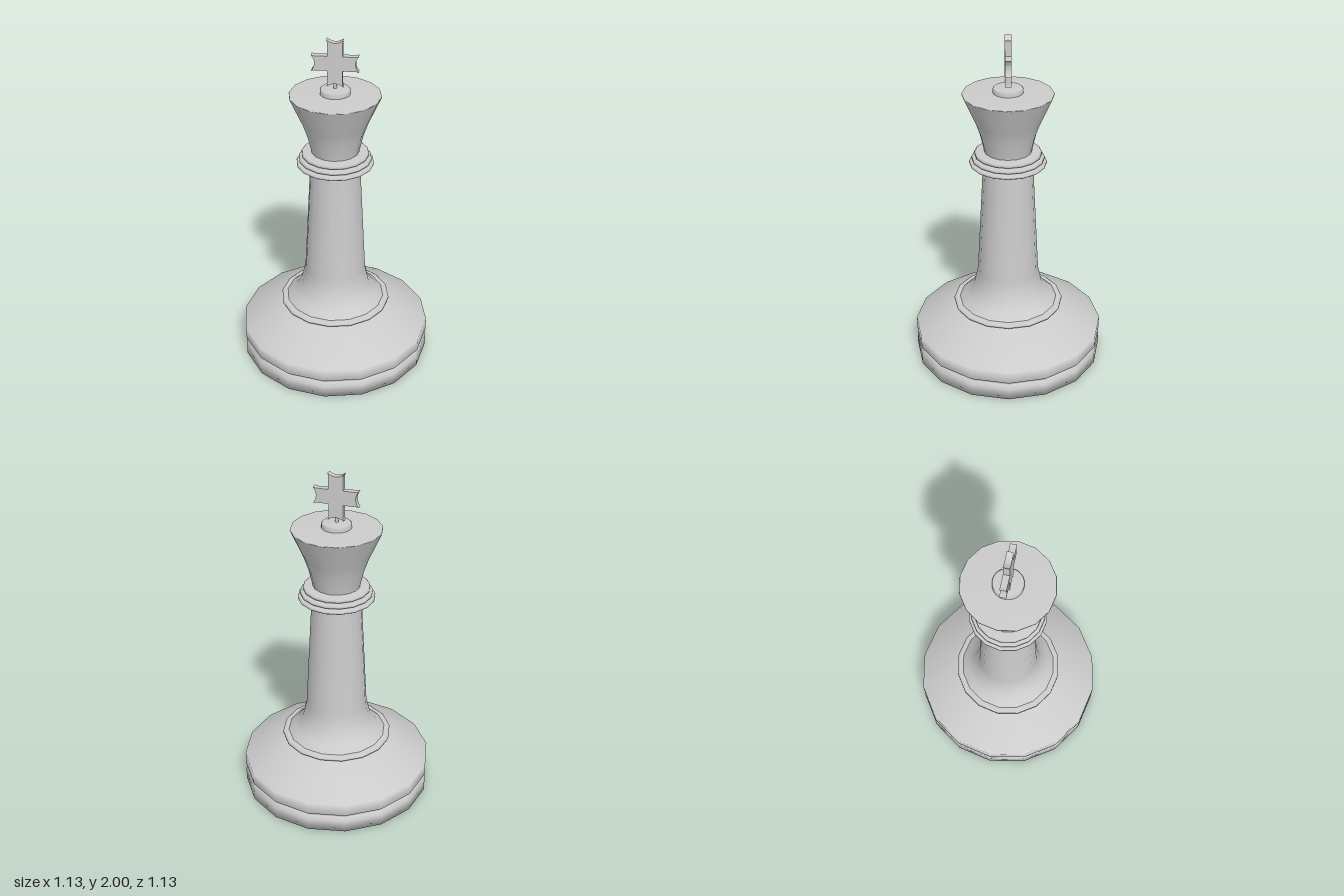
import * as THREE from 'three';

const SIDES = 16;
const material = new THREE.MeshStandardMaterial({ color: 0xcccccc });

function addMesh(group, name, geometry) {
  const mesh = new THREE.Mesh(geometry, material);
  mesh.name = name;
  group.add(mesh);
  return mesh;
}

// Turned part: profile of [radius, height] pairs from bottom to top
function turned(group, name, profile, sides = SIDES) {
  const points = profile.map(([r, y]) => new THREE.Vector2(r, y));
  return addMesh(group, name, new THREE.LatheGeometry(points, sides));
}

// Flared cross outline with a hollowed curve at the end of each arm
function crossShape() {
  const w = 0.042, flare = 0.046, dip = 0.035;
  const arms = [ // length and direction of each arm, counterclockwise
    [0.13, 1, 0], [0.135, 0, 1], [0.13, -1, 0], [0.135, 0, -1],
  ];
  const shape = new THREE.Shape();
  arms.forEach(([len, dx, dy], i) => {
    const at = (along, side) => [dx * along - dy * side, dy * along + dx * side];
    if (i === 0) shape.moveTo(...at(w, -w));
    else shape.lineTo(...at(w, -w));
    shape.lineTo(...at(len - 0.015, -w));
    shape.lineTo(...at(len, -flare));
    shape.quadraticCurveTo(...at(len - dip, 0), ...at(len, flare));
    shape.lineTo(...at(len - 0.015, w));
  });
  shape.closePath();
  return shape;
}

export function createModel() {
  const model = new THREE.Group();
  model.name = 'chessKing';

  // Wide foot with a groove and a sloping shoulder
  turned(model, 'base', [
    [0, 0], [0.565, 0], [0.565, 0.07], [0.54, 0.085], [0.54, 0.097],
    [0.565, 0.115], [0.565, 0.19], [0.29, 0.322], [0.2, 0.322],
  ]);

  // Thin ring between the foot and the shaft
  turned(model, 'baseRing', [
    [0.25, 0.322], [0.315, 0.323], [0.328, 0.33], [0.328, 0.341], [0.315, 0.349], [0.25, 0.351],
  ]);

  // Tapering shaft with a flared foot
  turned(model, 'shaft', [
    [0.295, 0.348], [0.25, 0.39], [0.205, 0.45], [0.181, 0.555], [0.143, 1.26],
  ]);

  // Stepped collar of three stacked rings
  const rings = [[0.222, 1.25, 1.272], [0.208, 1.277, 1.3], [0.192, 1.305, 1.33]];
  rings.forEach(([r, bottom, top], i) => {
    turned(model, `collarRing${i + 1}`, [
      [0.1, bottom], [r - 0.008, bottom], [r, bottom + 0.006],
      [r, top - 0.006], [r - 0.008, top], [0.1, top + 0.005],
    ]);
  });

  // Flaring head with an almost flat top
  turned(model, 'head', [
    [0.135, 1.32], [0.139, 1.345], [0.16, 1.435], [0.186, 1.51], [0.259, 1.675], [0.257, 1.68], [0, 1.688],
  ]);

  // Button and pin that carry the cross
  turned(model, 'button', [[0.085, 1.68], [0.085, 1.708], [0.078, 1.715], [0, 1.717]], 32);
  const pin = addMesh(model, 'pin', new THREE.CylinderGeometry(0.01, 0.01, 0.06, 12));
  pin.position.y = 1.735;

  const depth = 0.036;
  const cross = addMesh(model, 'cross', new THREE.ExtrudeGeometry(crossShape(), {
    depth, bevelEnabled: false, curveSegments: 8,
  }));
  cross.position.set(0, 1.865, -depth / 2);

  return model;
}
